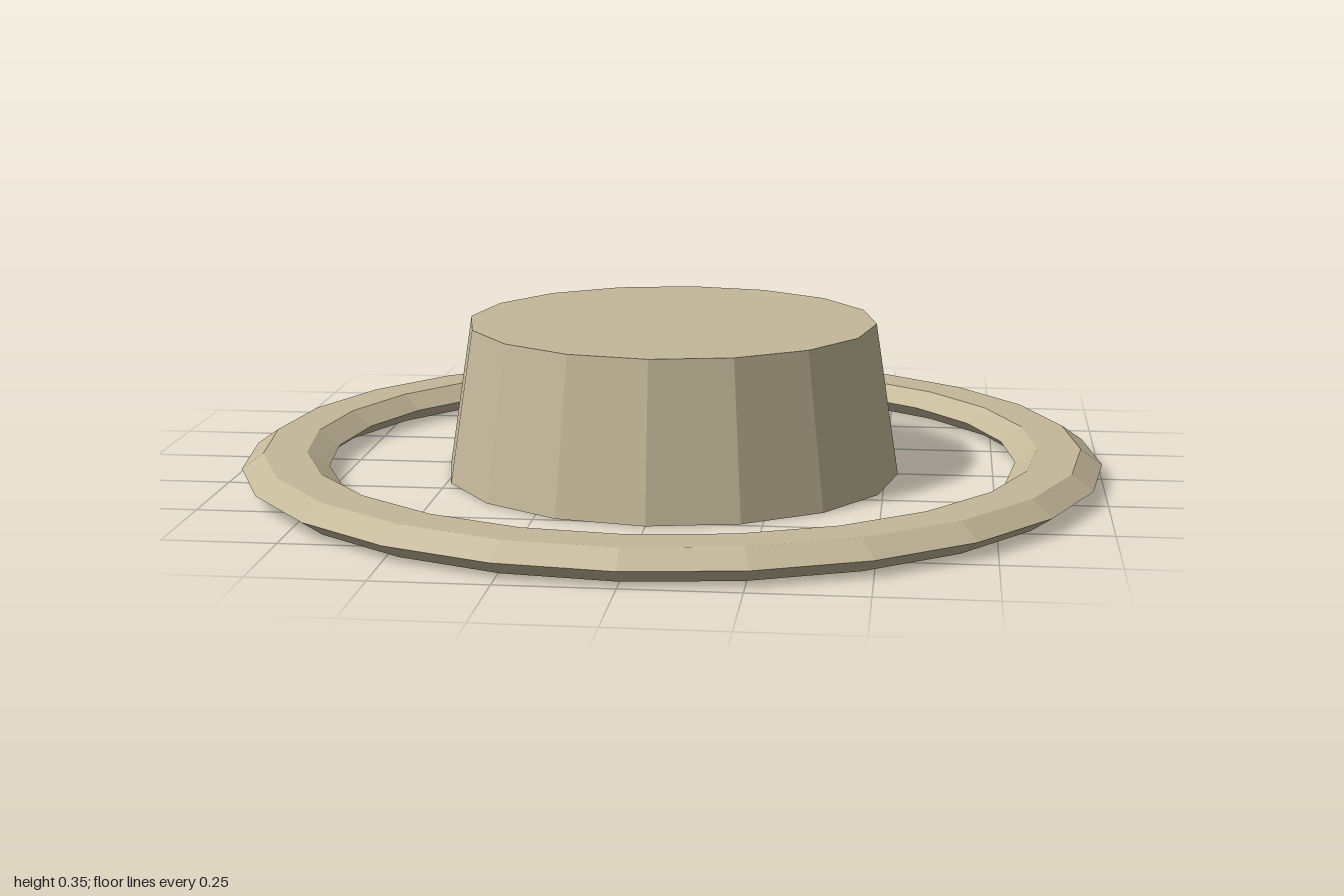
import * as THREE from 'three';

export function createModel() {
  const group = new THREE.Group();
  const material = new THREE.MeshStandardMaterial({ color: 0xc4b899, flatShading: true });

  // Tapered sixteen-sided crown, closed top and bottom
  const crownHeight = 0.355;
  const crown = new THREE.Mesh(new THREE.CylinderGeometry(0.475, 0.53, crownHeight, 16), material);
  crown.name = 'crown';
  crown.position.y = crownHeight / 2;
  group.add(crown);

  // Floating brim ring with a hexagonal section, listed from the bottom outer edge upwards
  const section = [
    [0.95, 0], [1, 0.035], [0.95, 0.07],
    [0.85, 0.07], [0.8, 0.035], [0.85, 0], [0.95, 0],
  ].map(([r, y]) => new THREE.Vector2(r, y));
  const brim = new THREE.Mesh(new THREE.LatheGeometry(section, 24), material);
  brim.name = 'brimRing';
  group.add(brim);

  return group;
}
